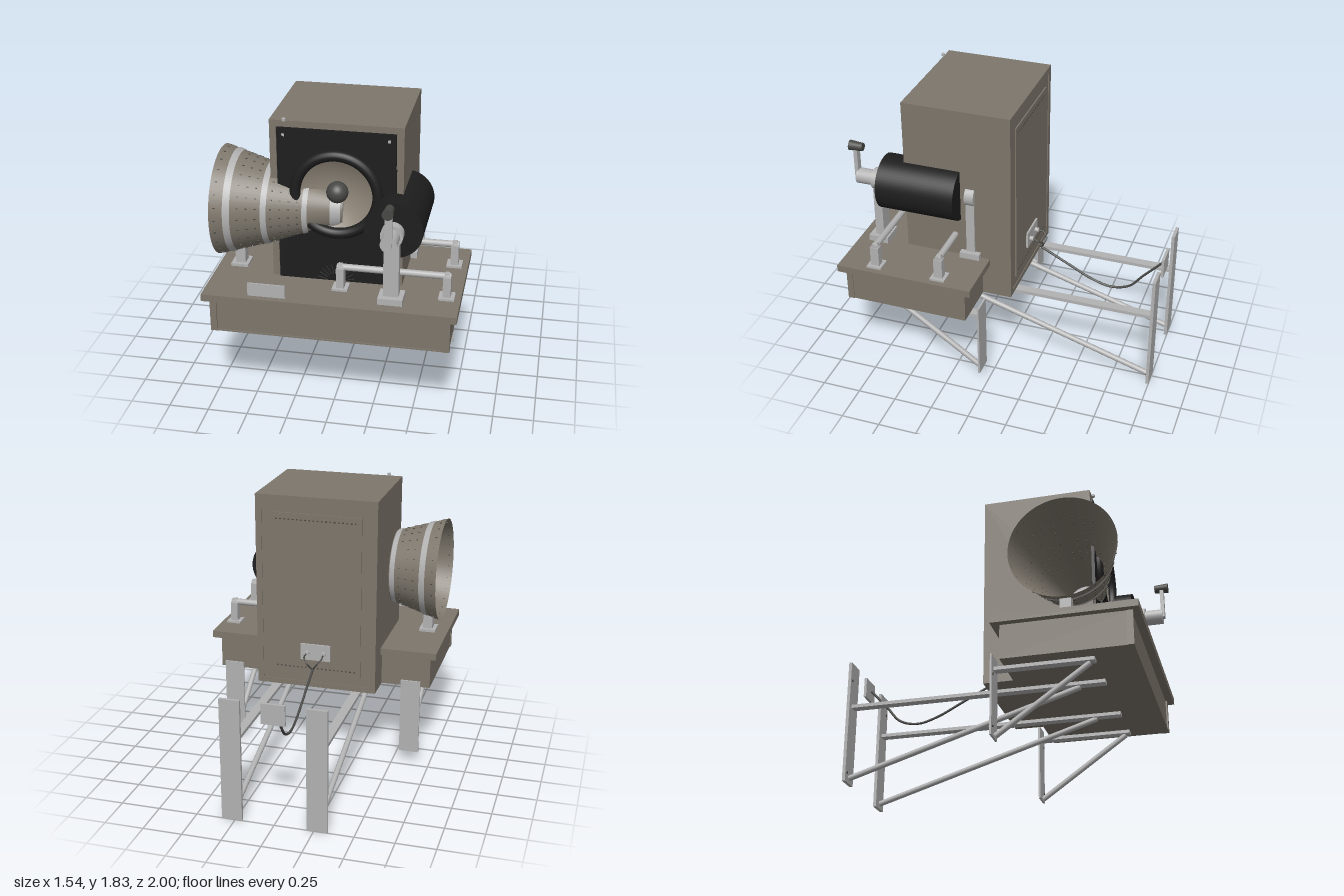
import * as THREE from 'three';
import { mergeGeometries } from 'three/addons/utils/BufferGeometryUtils.js';

export function createModel() {
  const root = new THREE.Group();
  const mat = (name, color, double) => {
    const m = new THREE.MeshStandardMaterial({ color });
    m.name = name;
    if (double) m.side = THREE.DoubleSide;
    return m;
  };
  const wood = mat('taupe wood', 0x7d766b);
  const sheet = mat('taupe sheet', 0x7f786d, true);
  const steel = mat('light steel', 0xb2b2b2);
  const black = mat('black', 0x1d1d1d);
  const dark = mat('dark grey', 0x484845);
  const pale = mat('warm beige', 0x8f8679, true);

  const add = (name, geo, m) => {
    const mesh = new THREE.Mesh(geo, m);
    mesh.name = name;
    root.add(mesh);
    return mesh;
  };
  // box from its limits on each axis
  const box = (name, m, x0, x1, y0, y1, z0, z1) => {
    const g = new THREE.BoxGeometry(x1 - x0, y1 - y0, z1 - z0);
    g.translate((x0 + x1) / 2, (y0 + y1) / 2, (z0 + z1) / 2);
    return add(name, g, m);
  };
  // cylinder or cone between two points
  const rod = (name, m, a, b, r0, r1 = r0, seg = 32, open = false) => {
    const A = new THREE.Vector3(...a), B = new THREE.Vector3(...b);
    const d = B.clone().sub(A);
    const mesh = add(name, new THREE.CylinderGeometry(r1, r0, d.length(), seg, 1, open), m);
    mesh.position.copy(A).add(B).multiplyScalar(0.5);
    mesh.quaternion.setFromUnitVectors(new THREE.Vector3(0, 1, 0), d.normalize());
    return mesh;
  };
  const tube = (name, m, pts, r) => add(name, new THREE.TubeGeometry(
    new THREE.CatmullRomCurve3(pts.map(p => new THREE.Vector3(...p))), 48, r, 8), m);

  // Shelf box with overhanging top
  box('shelfTop', wood, -0.77, 0.77, 0.745, 0.79, 0.06, 0.95);
  box('shelfBody', wood, -0.725, 0.725, 0.525, 0.745, 0.11, 0.9);
  box('shelfBottomRail', wood, -0.69, 0.69, 0.525, 0.533, 0.9, 0.908);
  for (const s of [-1, 1]) {
    const x = s * 0.71;
    box('shelfCornerPost', wood, x - 0.02, x + 0.02, 0.525, 0.745, 0.87, 0.91);
  }

  // Cabinet shell; the left-hand wall is notched around the horn
  box('cabinetTop', wood, -0.36, 0.36, 1.77, 1.81, -0.08, 0.62);
  box('cabinetBottom', wood, -0.36, 0.36, 0.525, 0.56, -0.08, 0.58);
  box('cabinetBack', wood, -0.36, 0.36, 0.56, 1.77, -0.075, -0.05);
  box('cabinetSide', wood, 0.36, 0.4, 0.525, 1.81, -0.08, 0.62);
  const notch = Math.acos(0.12 / 0.245), ny = 0.245 * Math.sin(notch);
  const side = new THREE.Shape();
  side.moveTo(-0.08, 0.525);
  side.lineTo(0.62, 0.525);
  side.lineTo(0.62, 1.225 - ny);
  side.absarc(0.5, 1.225, 0.245, -notch, notch, true);
  side.lineTo(0.62, 1.81);
  side.lineTo(-0.08, 1.81);
  side.closePath();
  const sideGeo = new THREE.ExtrudeGeometry(side, { depth: 0.04, bevelEnabled: false, curveSegments: 32 });
  sideGeo.rotateY(-Math.PI / 2);
  sideGeo.translate(-0.36, 0, 0);
  add('cabinetNotchedSide', sideGeo, wood);

  // Rear door with vent slots
  box('rearDoor', wood, -0.3, 0.3, 0.62, 1.7, -0.083, -0.075);
  for (const y of [0.66, 1.66])
    for (let i = 0; i < 20; i++) {
      const x = -0.26 + i * 0.0274;
      box('ventHole', dark, x - 0.005, x + 0.005, y - 0.004, y + 0.004, -0.086, -0.082);
    }

  // Black front panel with round opening, ring, dish and ball
  const panel = new THREE.Shape();
  panel.moveTo(-0.355, 0.785);
  panel.lineTo(0.355, 0.785);
  panel.lineTo(0.355, 1.767);
  panel.lineTo(-0.355, 1.767);
  panel.closePath();
  const hole = new THREE.Path();
  hole.absarc(0, 1.365, 0.235, 0, Math.PI * 2, true);
  panel.holes.push(hole);
  const panelGeo = new THREE.ExtrudeGeometry(panel, { depth: 0.02, bevelEnabled: false, curveSegments: 40 });
  panelGeo.translate(0, 0, 0.61);
  add('frontPanel', panelGeo, black);
  add('openingRing', new THREE.TorusGeometry(0.25, 0.033, 16, 64), black).position.set(0, 1.365, 0.632);
  const dishPts = [];
  for (let i = 0; i <= 10; i++) {
    const r = 0.238 * i / 10;
    dishPts.push(new THREE.Vector2(r, 0.55 + 0.075 * (i / 10) ** 2));
  }
  const dishGeo = new THREE.LatheGeometry(dishPts, 48);
  dishGeo.rotateX(Math.PI / 2);
  add('dish', dishGeo, pale).position.set(0, 1.365, 0);
  add('ball', new THREE.SphereGeometry(0.066, 32, 20), dark).position.set(0, 1.37, 0.6);
  for (const x of [-0.315, 0.315])
    box('panelScrew', steel, x - 0.008, x + 0.008, 1.717, 1.733, 0.63, 0.636);
  rod('topPin', steel, [-0.31, 1.81, 0.625], [-0.31, 1.825, 0.625], 0.012);

  // Horn, reaching across the cabinet along x
  const hornR = x => 0.34 - (x + 0.73) * 0.3;
  const hornSection = (name, m, x0, x1, extra = 0) =>
    rod(name, m, [x0, 1.225, 0.5], [x1, 1.225, 0.5], hornR(x0) + extra, hornR(x1) + extra, 64, true);
  hornSection('horn', sheet, -0.73, 0.03);
  rod('hornEnd', steel, [0.02, 1.225, 0.5], [0.03, 1.225, 0.5], 0.112, 0.112);
  for (const [x, w] of [[-0.632, 0.04], [-0.422, 0.034], [-0.188, 0.03], [-0.012, 0.06]])
    hornSection('hornBand', steel, x - w / 2, x + w / 2, 0.005);
  const rivets = [];
  for (const x of [-0.7, -0.57, -0.52, -0.47, -0.38, -0.33, -0.28, -0.23])
    for (let i = 0; i < 26; i++) {
      const g = new THREE.BoxGeometry(0.012, 0.004, 0.006);
      g.translate(x, hornR(x) + 0.001, 0);
      g.rotateX((i + 0.5) * Math.PI / 13);
      rivets.push(g);
    }
  add('hornRivets', mergeGeometries(rivets), dark).position.set(0, 1.225, 0.5);
  box('hornFoot', steel, -0.69, -0.58, 0.79, 0.808, 0.44, 0.56);
  box('hornPost', steel, -0.665, -0.602, 0.8, 0.915, 0.465, 0.535);

  // Drum on two bearing posts, with crank
  const X = 0.365, Y = 1.225;
  rod('drum', black, [X, Y, 0.25], [X, Y, 0.765], 0.175, 0.175, 64);
  rod('axle', steel, [X, Y, 0.13], [X, Y, 0.86], 0.032);
  rod('hub', steel, [X, Y, 0.84], [X, Y, 0.955], 0.05);
  for (const z of [0.185, 0.812]) {
    box('bearingFoot', steel, X - 0.075, X + 0.075, 0.79, 0.83, z - 0.065, z + 0.065);
    box('bearingPost', steel, X - 0.046, X + 0.046, 0.83, Y, z - 0.028, z + 0.028);
    rod('bearing', steel, [X, Y, z - 0.03], [X, Y, z + 0.03], 0.068);
  }
  box('crankArm', steel, X - 0.022, X + 0.022, Y - 0.01, 1.42, 0.945, 0.97);
  rod('crankKnob', dark, [X, 1.435, 0.91], [X, 1.435, 1.0], 0.026, 0.033);

  // Side rails beside the drum
  const railPost = (x, z) => {
    box('railFoot', steel, x - 0.048, x + 0.048, 0.79, 0.803, z - 0.048, z + 0.048);
    box('railPost', steel, x - 0.024, x + 0.024, 0.8, 0.93, z - 0.028, z + 0.028);
    rod('railPostCap', steel, [x, 0.93, z], [x, 0.957, z], 0.034, 0.018, 4).rotateY(Math.PI / 4);
  };
  for (const [x0, z] of [[0.04, 0.715], [0.4, 0.29]]) {
    rod('rail', steel, [x0 - 0.02, 0.934, z], [0.708, 0.934, z], 0.021, 0.021, 16);
    railPost(0.685, z);
    if (x0 < 0.3) railPost(x0, z);
  }

  // Small fittings on the shelf front
  box('labelPlate', steel, -0.49, -0.26, 0.79, 0.875, 0.902, 0.91);
  const halfDisc = (name, m, x, r) => {
    const g = new THREE.CylinderGeometry(r, r, 0.02, 32, 1, false, Math.PI / 2, Math.PI);
    g.rotateX(-Math.PI / 2);
    add(name, g, m).position.set(x, 0.79, 0.635);
  };
  halfDisc('dial', steel, 0, 0.122);
  halfDisc('smallDial', pale, 0.21, 0.06);
  for (let i = 1; i < 12; i++) {
    const a = i * Math.PI / 12, c = Math.cos(a), s = Math.sin(a);
    rod('dialTick', dark, [c * 0.06, 0.79 + s * 0.06, 0.645], [c * 0.12, 0.79 + s * 0.12, 0.645], 0.0015, 0.0015, 6);
  }

  // Wall brackets: long inner pair, short outer pair
  for (const s of [-1, 1]) {
    for (const [x, zw, y0, y1, zf, zs] of [[0.27, -0.99, 0, 0.8, 0.66, 0.5], [0.61, 0.045, 0.08, 0.59, 0.66, 0.63]]) {
      const c = s * x, t = x < 0.5 ? 0.01 : 0.006;
      box('wallPlate', steel, c - 0.065, c + 0.065, y0, y1, zw - t, zw + t);
      box('bracketArm', steel, c - 0.029, c + 0.029, 0.497, 0.519, zw, zf);
      rod('bracketStrut', steel, [c, y0 + (x < 0.5 ? 0.035 : 0.01), zw + 0.012], [c, 0.492, zs], 0.018, 0.018, 16);
      for (const y of [y0 + 0.06, y1 - 0.12])
        rod('plateBolt', dark, [c + s * 0.04, y, zw], [c + s * 0.04, y, zw + t + 0.004], 0.008, 0.008, 10);
    }
    // terminals and their leads
    rod('terminal', steel, [s * 0.055, 0.77, -0.09], [s * 0.055, 0.77, -0.12], 0.016, 0.016, 16);
    tube('lead', dark, [[s * 0.055, 0.77, -0.11], [s * 0.06, 0.76, -0.15], [s * 0.035, 0.73, -0.18], [0, 0.68, -0.155]], 0.005);
  }

  // Outlet plate, cable and wall box
  box('outletPlate', steel, -0.1, 0.1, 0.72, 0.83, -0.095, -0.08);
  box('wallSocket', steel, -0.075, 0.075, 0.668, 0.8, -0.995, -0.978);
  tube('cable', dark, [[0, 0.68, -0.155], [0, 0.59, -0.33], [0, 0.5, -0.51], [0, 0.468, -0.64],
    [0, 0.5, -0.76], [0, 0.6, -0.85], [0, 0.73, -0.97]], 0.008);
  return root;
}
